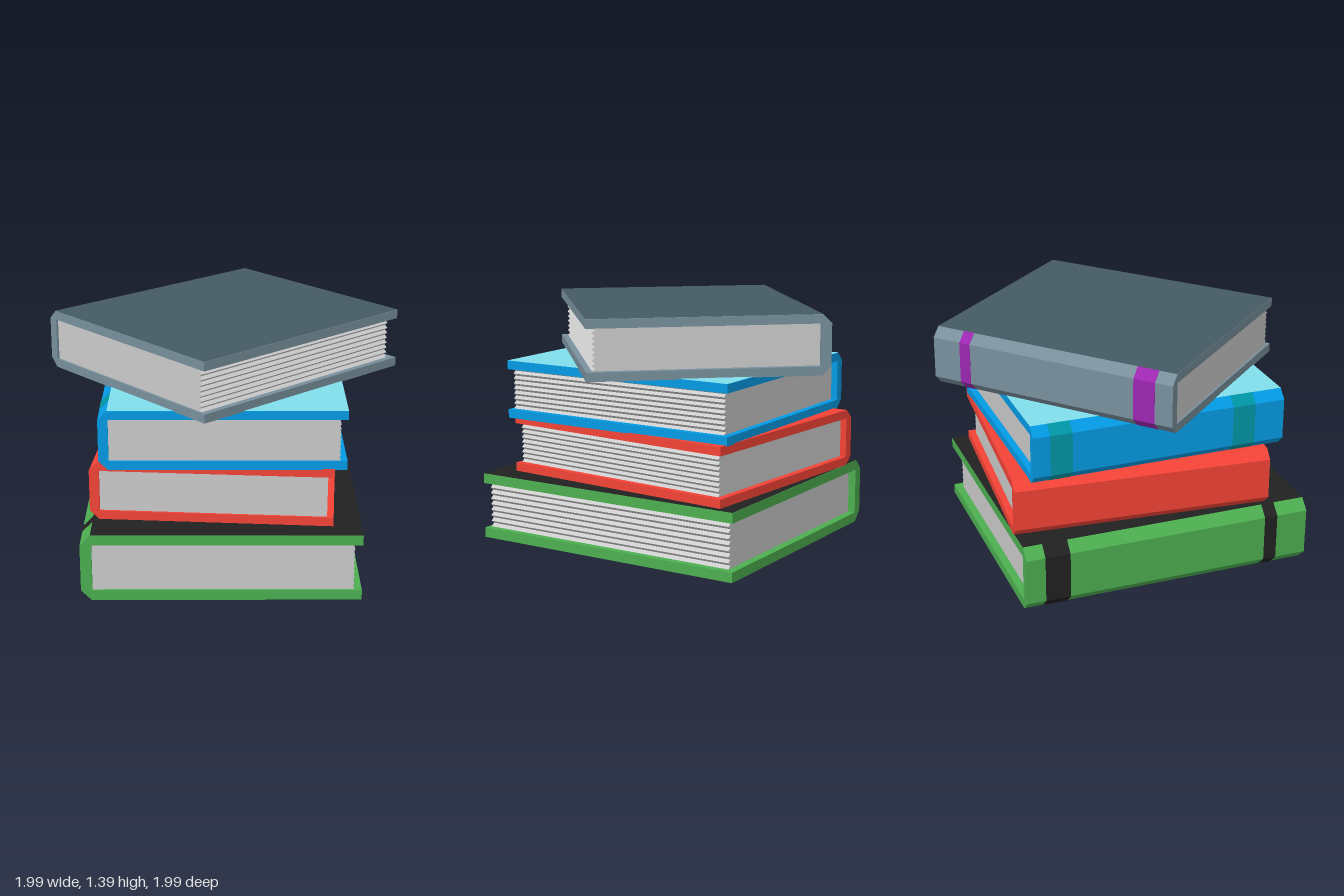
import * as THREE from 'three';

// Shared book proportions: width (x), height (y), length (z)
const W = 1.34, H = 0.335, L = 1.475;
const BOARD = 0.05, SPINE = 0.055, BEVEL = 0.05, TEETH = 8;

const material = (color) => new THREE.MeshStandardMaterial({ color, flatShading: true });

// Extrude an outline in the xy plane from z0 to z1
function extrude(name, points, z0, z1, color) {
  const shape = new THREE.Shape(points.map(([x, y]) => new THREE.Vector2(x, y)));
  const geometry = new THREE.ExtrudeGeometry(shape, { depth: z1 - z0, bevelEnabled: false });
  geometry.translate(0, 0, z0);
  const mesh = new THREE.Mesh(geometry, material(color));
  mesh.name = name;
  return mesh;
}

// Bevelled outer line of the spine, pushed outward by a small offset
function spineLine(offset) {
  const x = -W / 2 - offset;
  return [
    [-W / 2 + BEVEL, -offset], [x, BEVEL],
    [x, H - BEVEL], [-W / 2 + BEVEL, H + offset],
  ];
}

function createBook({ name, color, topColor, bandColor, bands = [], position, turn, scale = 1 }) {
  const book = new THREE.Group();
  book.name = name;

  // Hard cover: two boards joined by a bevelled spine
  const inner = -W / 2 + SPINE;
  book.add(extrude('cover', [
    [W / 2, 0], [W / 2, BOARD], [inner, BOARD], [inner, H - BOARD],
    [W / 2, H - BOARD], [W / 2, H], ...spineLine(0).reverse(),
  ], -L / 2, L / 2, color));

  // Page block with a zigzag fore edge
  const low = BOARD, high = H - BOARD, edge = W / 2 - 0.036;
  const pages = [[inner, high], [inner, low]];
  for (let i = 0; i <= TEETH * 2; i++) {
    pages.push([edge - (i % 2) * 0.018, low + (high - low) * i / (TEETH * 2)]);
  }
  book.add(extrude('pages', pages, -L / 2 + 0.04, L / 2 - 0.013, 0xcccccc));

  // Coloured sheet on the top board
  if (topColor !== undefined) {
    const sheet = new THREE.Mesh(new THREE.PlaneGeometry(W - BEVEL, L), material(topColor));
    sheet.name = 'topSheet';
    sheet.rotation.x = -Math.PI / 2;
    sheet.position.set(BEVEL / 2, H + 0.0015, 0);
    book.add(sheet);
  }

  // Bands wrapped around the spine, as fractions of its length
  for (const [start, end] of bands) {
    const outline = [...spineLine(0.002).reverse(), ...spineLine(0)];
    book.add(extrude('spineBand', outline, (start - 0.5) * L, (end - 0.5) * L, bandColor));
  }

  book.position.set(...position);
  book.rotation.y = turn;
  book.scale.setScalar(scale);
  return book;
}

export function createModel() {
  const stack = new THREE.Group();
  stack.name = 'bookStack';
  const books = [
    {
      name: 'greenBook', color: 0x4caf50, topColor: 0x212121, bandColor: 0x212121,
      bands: [[0.065, 0.15], [0.845, 0.89]], position: [-0.007, 0, 0.09], turn: 0.08, scale: 1.144,
    },
    { name: 'redBook', color: 0xf44336, position: [-0.01, 0.385, 0.025], turn: 0 },
    {
      name: 'blueBook', color: 0x039be5, topColor: 0x80deea, bandColor: 0x0097a7,
      bands: [[0.065, 0.15], [0.79, 0.88]], position: [0, 0.715, 0.07], turn: 0.08,
    },
    {
      name: 'slateBook', color: 0x78909c, topColor: 0x455a64, bandColor: 0x9c27b0,
      bands: [[0.115, 0.16], [0.845, 0.93]], position: [0, 1.047, 0], turn: -0.76,
    },
  ];
  for (const spec of books) stack.add(createBook(spec));
  return stack;
}
